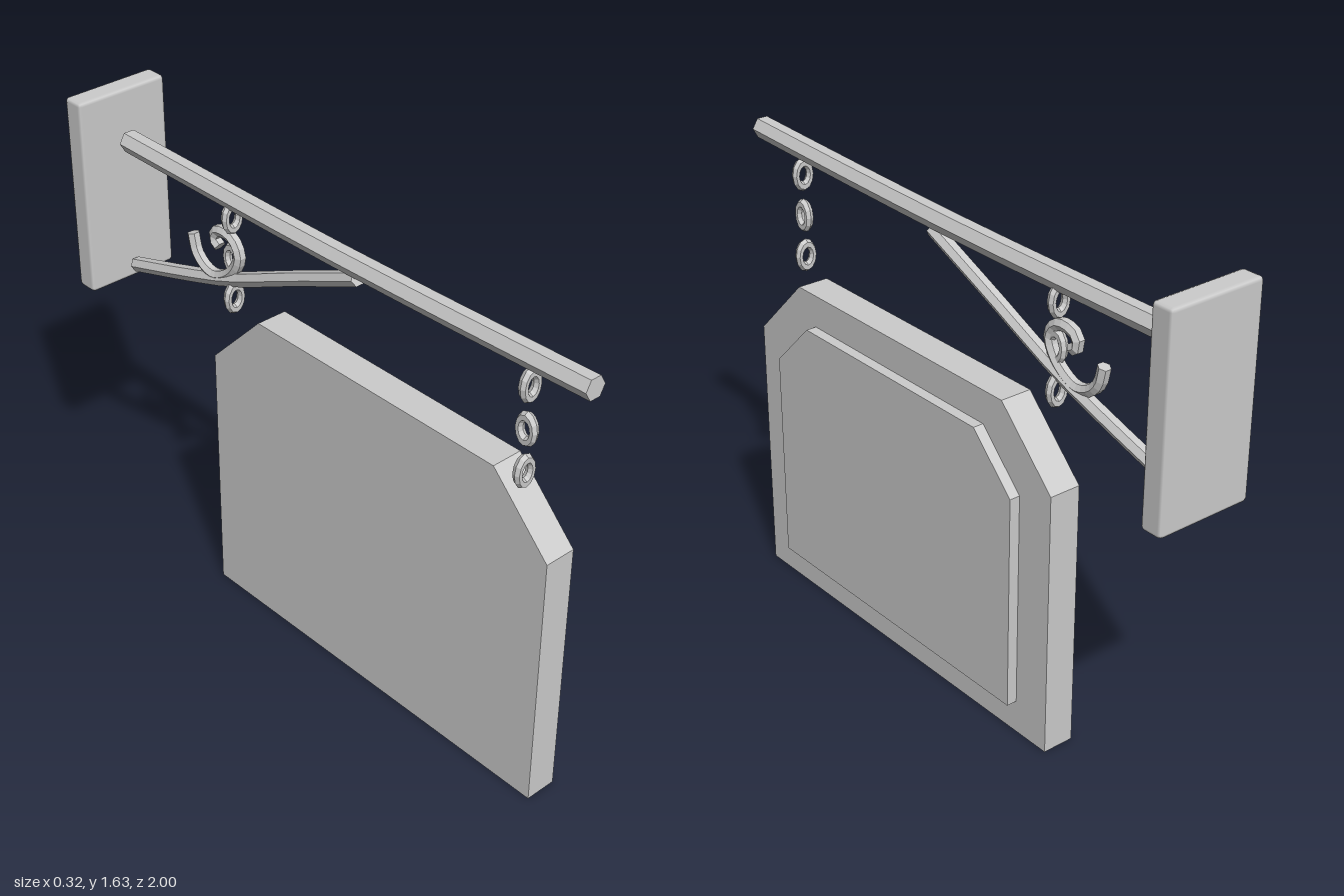
import * as THREE from 'three';
import { RoundedBoxGeometry } from 'three/addons/geometries/RoundedBoxGeometry.js';

const grey = new THREE.MeshStandardMaterial({ color: 0xcccccc });
grey.name = 'grey';

function part(name, geometry, parent) {
  const mesh = new THREE.Mesh(geometry, grey);
  mesh.name = name;
  parent.add(mesh);
  return mesh;
}

function faceted(geometry) {
  const g = geometry.toNonIndexed();
  g.computeVertexNormals();
  return g;
}

// Capped six-sided rod swept along a curve in the x = 0 plane; points are [z, y]
function rod(points, radius, steps, sides = 6) {
  const curve = new THREE.CatmullRomCurve3(points.map(([z, y]) => new THREE.Vector3(0, y, z)));
  const pos = [], idx = [];
  for (let i = 0; i <= steps; i++) {
    const p = curve.getPointAt(i / steps), t = curve.getTangentAt(i / steps);
    for (let j = 0; j < sides; j++) {
      const a = (j / sides) * Math.PI * 2;
      const c = Math.cos(a) * radius, s = Math.sin(a) * radius;
      pos.push(c, p.y + t.z * s, p.z - t.y * s);
    }
  }
  for (let i = 0; i < steps; i++) {
    for (let j = 0; j < sides; j++) {
      const a = i * sides + j, b = i * sides + (j + 1) % sides;
      idx.push(a, b, a + sides, b, b + sides, a + sides);
    }
  }
  const end = steps * sides;
  for (let j = 1; j < sides - 1; j++) {
    idx.push(0, j + 1, j, end, end + j, end + j + 1);
  }
  const g = new THREE.BufferGeometry();
  g.setAttribute('position', new THREE.Float32BufferAttribute(pos, 3));
  g.setIndex(idx);
  return faceted(g);
}

// Board with clipped top corners, extruded along x
function clippedBoard(front, back, bottom, top, cutZ, cutY, x, depth) {
  const shape = new THREE.Shape([
    [-front, bottom], [-back, bottom], [-back, top - cutY],
    [-back - cutZ, top], [-front + cutZ, top], [-front, top - cutY],
  ].map(([u, v]) => new THREE.Vector2(u, v)));
  const g = new THREE.ExtrudeGeometry(shape, { depth, bevelEnabled: false });
  g.rotateY(Math.PI / 2);
  g.translate(x, 0, 0);
  return g;
}

export function createModel() {
  const model = new THREE.Group();
  model.name = 'hangingSign';

  // Wall plate with softened edges
  part('wallPlate', new RoundedBoxGeometry(0.32, 0.65, 0.075, 1, 0.012), model)
    .position.set(0, 1.31, -0.9625);

  // Iron bracket
  const bracket = new THREE.Group();
  bracket.name = 'bracket';
  model.add(bracket);
  part('arm', rod([[-0.905, 1.472], [-0.45, 1.471], [0, 1.473], [0.5, 1.484], [1, 1.5]], 0.036, 8), bracket);
  part('brace', rod([[0.13, 1.435], [-0.15, 1.313], [-0.42, 1.193], [-0.62, 1.125], [-0.905, 1.038]], 0.024, 10), bracket);
  part('scroll', rod([
    [-0.603, 1.278], [-0.587, 1.22], [-0.549, 1.185], [-0.5, 1.174], [-0.442, 1.2], [-0.4, 1.243],
    [-0.384, 1.29], [-0.41, 1.332], [-0.453, 1.342], [-0.49, 1.328], [-0.498, 1.298], [-0.476, 1.282],
  ], 0.02, 24), bracket);

  // Two chains of three links, the middle link turned a quarter
  const link = new THREE.TorusGeometry(0.026, 0.011, 6, 12);
  link.scale(1, 1.5, 1.35);
  const linkGeometry = faceted(link);
  for (const [name, z] of [['frontChain', 0.785], ['rearChain', -0.415]]) {
    const chain = new THREE.Group();
    chain.name = name;
    chain.position.z = z;
    model.add(chain);
    [1.405, 1.268, 1.133].forEach((y, i) => {
      const m = part('chainLink', linkGeometry, chain);
      m.position.y = y;
      m.rotation.y = i === 1 ? Math.PI / 2 : 0;
    });
  }

  // Sign board and its raised panel
  part('signBoard', clippedBoard(0.89, -0.52, 0, 1.09, 0.215, 0.215, 0, 0.105), model);
  part('raisedPanel', clippedBoard(0.755, -0.388, 0.11, 0.983, 0.163, 0.163, 0.105, 0.035), model);

  return model;
}
